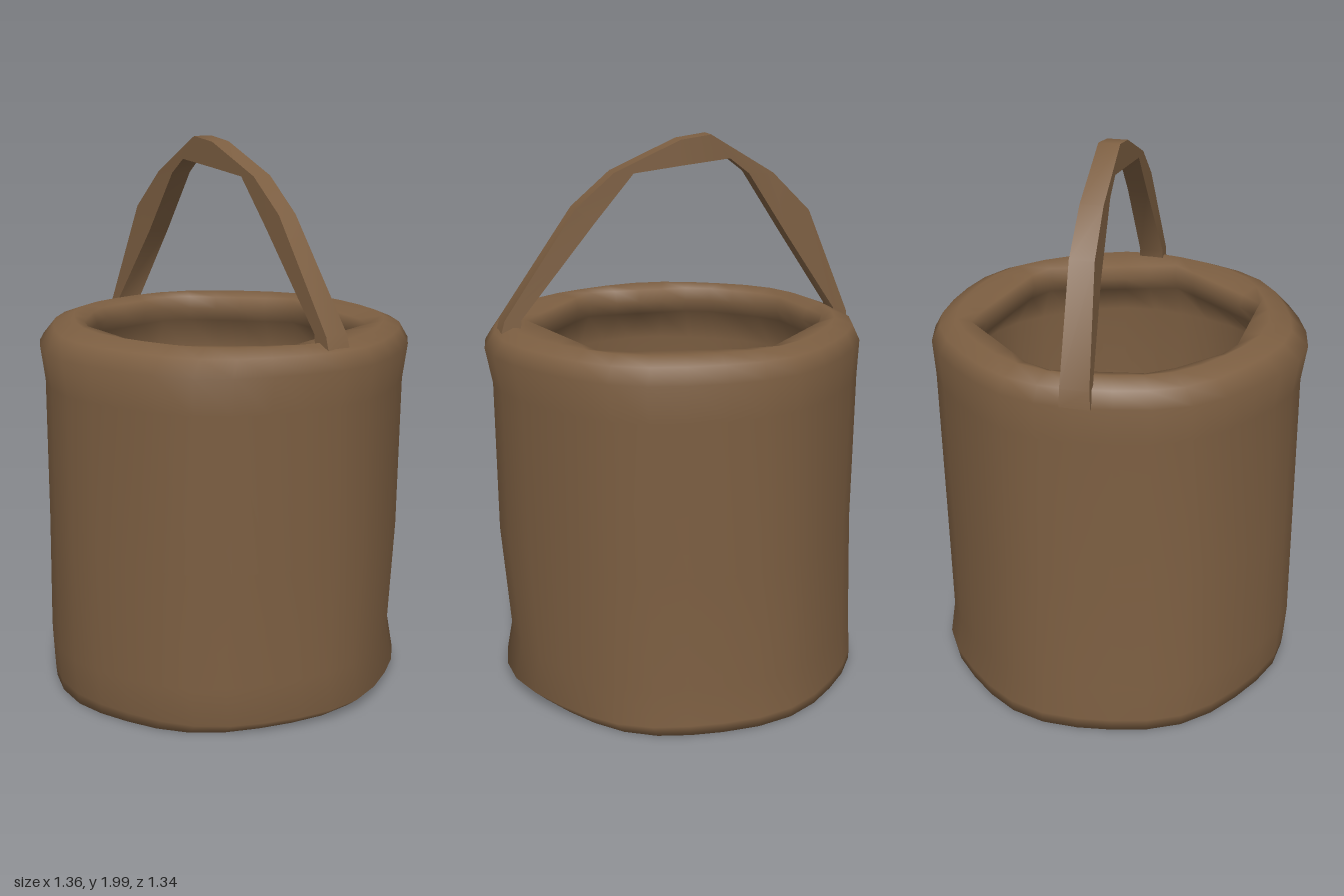
import * as THREE from 'three';
import { toCreasedNormals } from 'three/addons/utils/BufferGeometryUtils.js';

// Skin rows of equal length; each row is a list of [x, y, z], closed around
function loft(rows, capEnds) {
  const n = rows[0].length;
  const positions = rows.flat(2);
  const index = [];
  for (let r = 0; r < rows.length - 1; r++) {
    for (let i = 0; i < n; i++) {
      const a = r * n + i, b = r * n + (i + 1) % n;
      index.push(a, a + n, b, b, a + n, b + n);
    }
  }
  if (capEnds) {
    const last = (rows.length - 1) * n;
    for (let i = 1; i < n - 1; i++) {
      index.push(0, i, i + 1, last, last + i + 1, last + i);
    }
  }
  const geometry = new THREE.BufferGeometry();
  geometry.setAttribute('position', new THREE.Float32BufferAttribute(positions, 3));
  geometry.setIndex(index);
  geometry.computeVertexNormals();
  return geometry;
}

// Distance from the middle to a polygon's edge along an angle
function polygonRadius(points, angle) {
  const dx = Math.cos(angle), dz = Math.sin(angle);
  let radius = 0;
  points.forEach(([ax, az], i) => {
    const [bx, bz] = points[(i + 1) % points.length];
    const ex = bx - ax, ez = bz - az;
    const det = ex * dz - ez * dx;
    const t = (ex * az - ez * ax) / det;
    const s = (dx * az - dz * ax) / det;
    if (t > 0 && s >= -1e-6 && s <= 1 + 1e-6) radius = Math.max(radius, t);
  });
  return radius;
}

export function createModel() {
  const group = new THREE.Group();
  const leather = new THREE.MeshStandardMaterial({ color: 0x7d5f42, side: THREE.DoubleSide });
  leather.name = 'brown leather';

  const sides = 32;
  const angles = Array.from({ length: sides }, (_, i) => -i / sides * Math.PI * 2);

  // A lopsided ring: height, reach to -x, +x, -z and +z
  const ring = ([y, left, right, back, front]) => angles.map((a) => {
    const c = Math.cos(a), s = Math.sin(a);
    const facet = 1 + 0.012 * Math.cos(a * 7 + 1);
    return [c * (c < 0 ? left : right) * facet, y, s * (s < 0 ? back : front) * facet];
  });

  // Uneven seven-sided mouth
  const mouth = [[-0.19, -0.49], [0.35, -0.39], [0.5, 0.1], [0.2, 0.46],
    [-0.23, 0.44], [-0.47, 0.23], [-0.53, -0.15]];
  const mouthRing = (y, scale) => angles.map((a) => {
    const r = polygonRadius(mouth, a) * scale;
    return [r * Math.cos(a), y, r * Math.sin(a)];
  });

  // Bucket: underside, outer wall, rolled rim, inner wall and floor
  const rows = [
    [0.01, 0.001, 0.001, 0.001, 0.001],
    [0.01, 0.62, 0.55, 0.6, 0.58],
    [0.01, 0.68, 0.59, 0.65, 0.635],
    [0.05, 0.68, 0.64, 0.66, 0.64],
    [0.18, 0.675, 0.615, 0.64, 0.65],
    [0.6, 0.66, 0.65, 0.65, 0.65],
    [1.15, 0.665, 0.655, 0.66, 0.65],
    [1.28, 0.67, 0.68, 0.67, 0.67],
    [1.335, 0.645, 0.645, 0.64, 0.61],
    [1.36, 0.58, 0.59, 0.58, 0.53],
  ].map(ring);
  rows.push(mouthRing(1.345, 1.03), mouthRing(1.3, 1), mouthRing(1.25, 1.04));
  rows.push(...[
    [1.12, 0.6, 0.59, 0.59, 0.59],
    [0.2, 0.6, 0.56, 0.58, 0.58],
    [0.1, 0.5, 0.48, 0.5, 0.5],
    [0.08, 0.001, 0.001, 0.001, 0.001],
  ].map(ring));
  const bucket = new THREE.Mesh(loft(rows, false), leather);
  bucket.name = 'bucket';
  group.add(bucket);

  // Handle stations: outer x, y, inner x, y, back z, front z
  const stations = [
    [-0.67, 1.28, -0.6, 1.28, -0.045, 0.06],
    [-0.66, 1.34, -0.61, 1.35, -0.045, 0.055],
    [-0.5, 1.72, -0.42, 1.63, -0.05, 0.035],
    [-0.36, 1.86, -0.27, 1.86, -0.05, 0.03],
    [-0.13, 2.0, -0.2, 1.915, -0.045, 0.03],
    [-0.02, 1.985, -0.02, 1.895, -0.042, 0.03],
    [0.22, 1.88, 0.15, 1.875, -0.042, 0.03],
    [0.36, 1.76, 0.29, 1.71, -0.042, 0.03],
    [0.62, 1.385, 0.56, 1.385, -0.055, 0.035],
    [0.65, 1.28, 0.57, 1.28, -0.06, 0.035],
  ];
  const strap = stations.map(([ox, oy, ix, iy, back, front]) => [
    [ox, oy, back], [ox, oy, front], [ix, iy, front], [ix, iy, back],
  ]);
  const handle = new THREE.Mesh(toCreasedNormals(loft(strap.reverse(), true), 0.8), leather);
  handle.name = 'handle';
  group.add(handle);

  return group;
}
